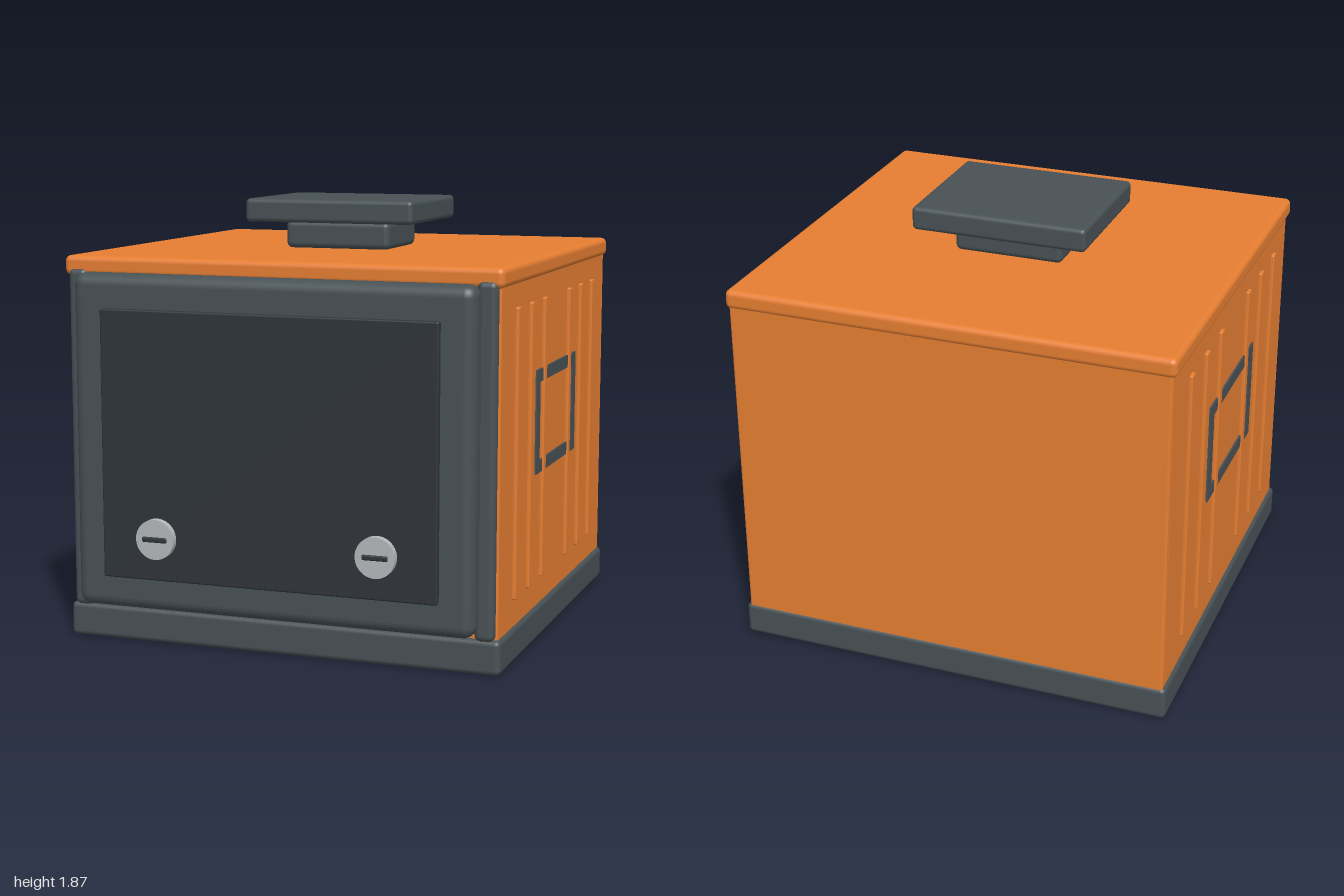
import * as THREE from 'three';
import { RoundedBoxGeometry } from 'three/addons/geometries/RoundedBoxGeometry.js';

const mat = (color) => new THREE.MeshStandardMaterial({ color });

export function createModel() {
  const model = new THREE.Group();
  model.name = 'ovenBox';
  const orange = mat(0xe67e32), dark = mat(0x485155), panel = mat(0x2f3539), metal = mat(0xb4b8ba);

  const add = (name, geometry, material, parent = model) => {
    const mesh = new THREE.Mesh(geometry, material);
    mesh.name = name;
    parent.add(mesh);
    return mesh;
  };
  // Rounded box given by its extents on each axis
  const box = (name, [x0, x1], [y0, y1], [z0, z1], r, material, parent) => {
    const mesh = add(name, new RoundedBoxGeometry(x1 - x0, y1 - y0, z1 - z0, 4, r), material, parent);
    mesh.position.set((x0 + x1) / 2, (y0 + y1) / 2, (z0 + z1) / 2);
    return mesh;
  };

  // Base, body, back panel and lid
  box('base', [-0.96, 0.96], [0, 0.145], [-1, 0.835], 0.022, dark);
  box('body', [-0.945, 0.945], [0.1, 1.6], [-0.975, 0.812], 0.01, orange);
  box('backPanel', [-0.945, 0.945], [0.12, 1.6], [-0.993, -0.965], 0.012, orange);
  box('lid', [-0.96, 0.96], [1.562, 1.645], [-1, 0.835], 0.025, orange);

  // Stepped knob on the lid
  box('lidKnobStem', [-0.24, 0.24], [1.645, 1.765], [-0.272, 0.112], 0.025, dark);
  box('lidKnobPlate', [-0.385, 0.385], [1.763, 1.865], [-0.395, 0.23], 0.02, dark);

  // Door with its inset panel
  box('door', [-0.875, 0.875], [0.165, 1.582], [0.812, 0.938], 0.05, dark);
  box('doorPanel', [-0.735, 0.735], [0.305, 1.44], [0.92, 0.962], 0.008, panel);

  const ribPositions = [0.575, 0.357, 0.139, -0.297, -0.515, -0.733];

  // Flat rectangular grip outline, lying in the zy plane
  const gripShape = new THREE.Shape();
  gripShape.moveTo(-0.343, -0.223).lineTo(0.343, -0.223).lineTo(0.343, 0.223).lineTo(-0.343, 0.223).closePath();
  const gripHole = new THREE.Path();
  gripHole.moveTo(-0.288, -0.168).lineTo(-0.288, 0.168).lineTo(0.288, 0.168).lineTo(0.288, -0.168).closePath();
  gripShape.holes.push(gripHole);
  const gripGeometry = new THREE.ExtrudeGeometry(gripShape, { depth: 0.03, bevelEnabled: false });
  gripGeometry.translate(0, 0, -0.015).rotateY(Math.PI / 2);

  for (const [side, s] of [['left', 1], ['right', -1]]) {
    // Front corner post
    const post = box(`${side}FrontPost`, [-0.042, 0.042], [0.14, 1.592], [0.79, 0.848], 0.025, dark);
    post.position.x = s * 0.894;

    // Side ribs and grip
    const ribs = new THREE.Group();
    ribs.name = `${side}SideRibs`;
    model.add(ribs);
    for (const z of ribPositions) {
      const rib = box('rib', [-0.015, 0.015], [0.26, 1.468], [z - 0.022, z + 0.022], 0.006, orange, ribs);
      rib.position.x = s * 0.944;
    }
    add(`${side}Grip`, gripGeometry, dark).position.set(s * 0.938, 0.947, -0.081);

    // Slotted door fastener
    const fastener = new THREE.Group();
    fastener.name = `${side}Fastener`;
    fastener.position.set(s * 0.483, 0.487, 0);
    model.add(fastener);
    const disc = add('disc', new THREE.CylinderGeometry(0.085, 0.085, 0.04, 48), metal, fastener);
    disc.rotation.x = Math.PI / 2;
    disc.position.z = 0.972;
    box('slot', [-0.055, 0.055], [-0.011, 0.011], [0.975, 1], 0.006, panel, fastener);
  }
  return model;
}
